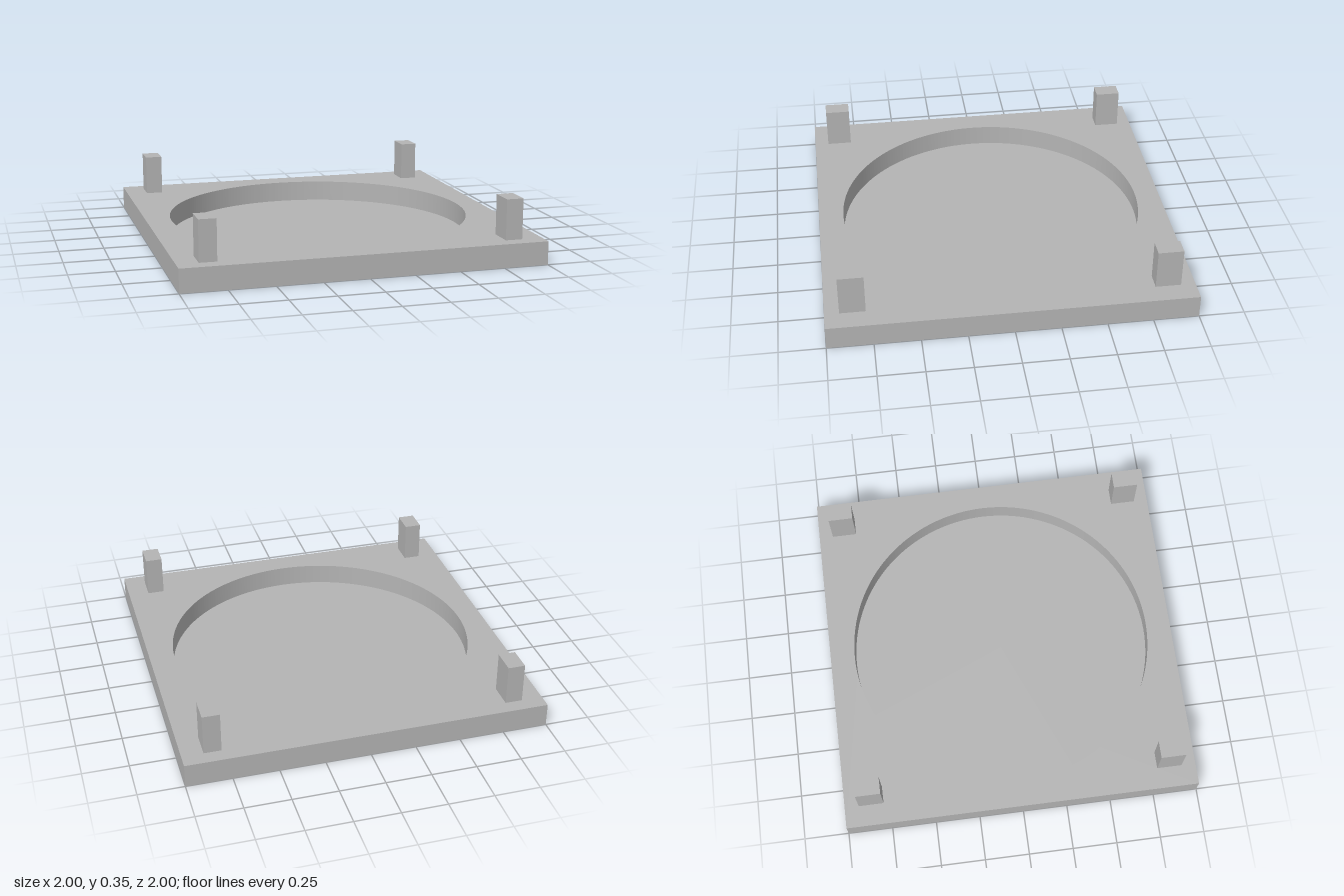
import * as THREE from 'three';

const SLAB_TOP = 0.13, POCKET = 0.05, FLOOR = 0.01, RADIUS = 0.86;
const PEG = { x: 0.835, z: 0.85, w: 0.095, d: 0.14, top: 0.355 };
const CORNERS = [[-1, -1], [1, -1], [1, 1], [-1, 1]];

// Closed rectangle centred on (cx, cy)
function rectangle(PathType, cx, cy, w, h) {
  return new PathType(CORNERS.map(([sx, sy]) => new THREE.Vector2(cx + sx * w / 2, cy + sy * h / 2)));
}

// Square plate with the round opening, and pockets if wanted, between two heights
function plate(y0, y1, withPockets) {
  const shape = rectangle(THREE.Shape, 0, 0, 2, 2);
  shape.holes.push(new THREE.Path().absarc(0, 0, RADIUS, 0, Math.PI * 2, true));
  if (withPockets) {
    for (const [sx, sz] of CORNERS) {
      shape.holes.push(rectangle(THREE.Path, sx * PEG.x, sz * PEG.z, PEG.w, PEG.d));
    }
  }
  const geometry = new THREE.ExtrudeGeometry(shape, { depth: y1 - y0, bevelEnabled: false, curveSegments: 128 });
  geometry.rotateX(-Math.PI / 2);
  geometry.translate(0, y0, 0);
  return geometry;
}

export function createModel() {
  const model = new THREE.Group();
  model.name = 'stackingTray';
  const grey = new THREE.MeshStandardMaterial({ color: 0xb4b4b4 });
  grey.name = 'grey';

  const add = (name, geometry) => {
    const mesh = new THREE.Mesh(geometry, grey);
    mesh.name = name;
    model.add(mesh);
    return mesh;
  };

  // Slab: the lower layer holds the peg sockets, the upper layer closes them
  add('lowerSlab', plate(0, POCKET, true));
  add('upperSlab', plate(POCKET, SLAB_TOP, false));

  // Thin floor of the round recess
  add('recessFloor', new THREE.CylinderGeometry(RADIUS, RADIUS, FLOOR, 128)).position.y = FLOOR / 2;

  // Corner pegs
  const pegHeight = PEG.top - SLAB_TOP;
  for (const [sx, sz] of CORNERS) {
    add((sz > 0 ? 'front' : 'back') + (sx > 0 ? 'Left' : 'Right') + 'Peg',
      new THREE.BoxGeometry(PEG.w, pegHeight, PEG.d))
      .position.set(sx * PEG.x, SLAB_TOP + pegHeight / 2, sz * PEG.z);
  }
  return model;
}
